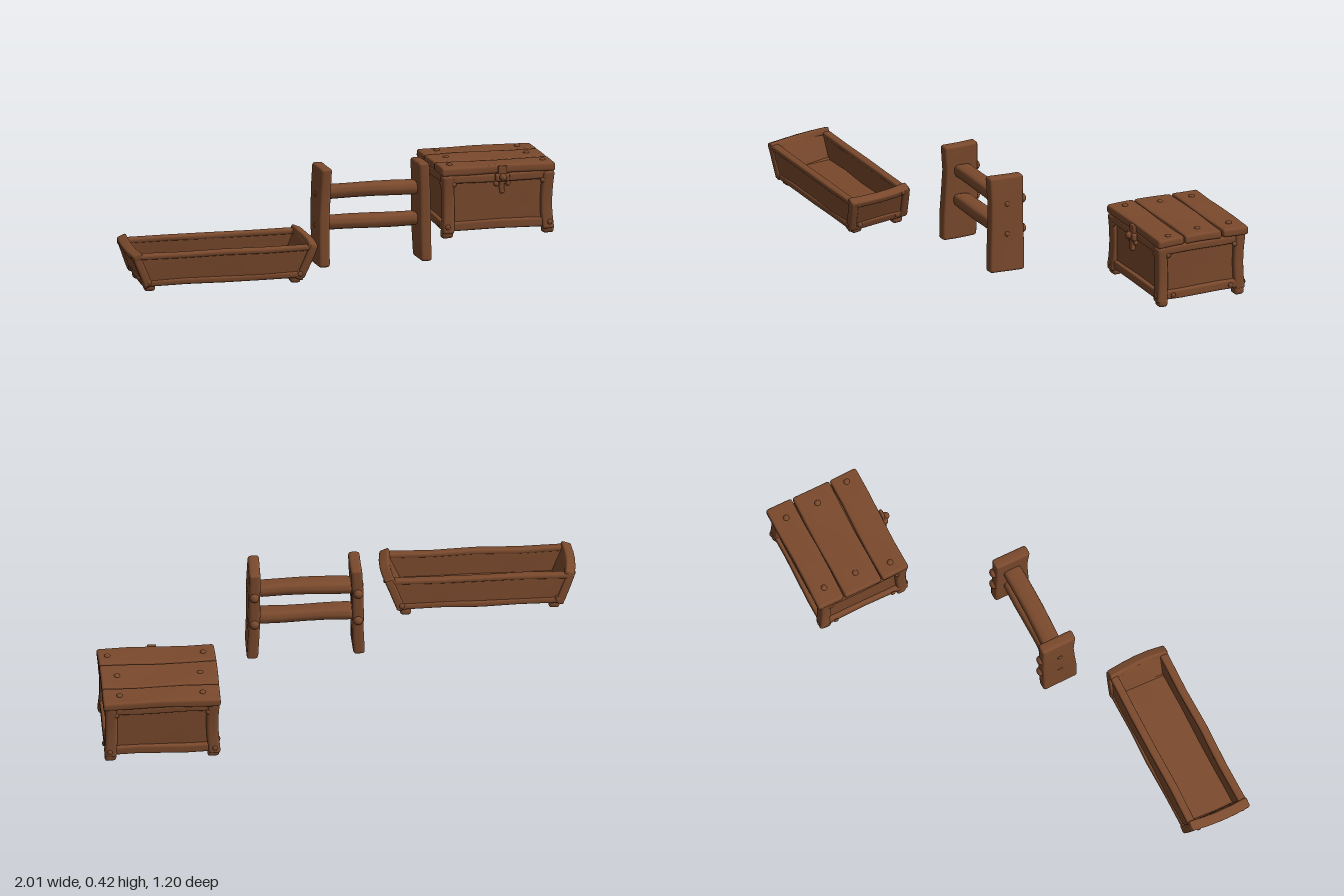
import * as THREE from 'three';
import { mergeVertices } from 'three/addons/utils/BufferGeometryUtils.js';

const wood = new THREE.MeshStandardMaterial({ color: 0x7b4a2d });
wood.name = 'brown wood';

let seed = 0;

// Rounded, slightly uneven hewn block; bend(p) may reshape each vertex.
function blockGeometry(w, h, d, r, wobble, bend) {
  const g = new THREE.BoxGeometry(2, 2, 2, 8, 8, 8);
  g.deleteAttribute('normal');
  g.deleteAttribute('uv');
  const half = [w / 2, h / 2, d / 2];
  r = Math.min(r, ...half.map((v) => v * 0.95));
  const spread = (c, size) => {
    const a = Math.abs(c);
    const m = a <= 0.5 ? (a / 0.5) * (size - r) : a < 0.9 ? size - r * 0.45 : size;
    return Math.sign(c) * m;
  };
  const pos = g.attributes.position;
  const phase = seed++ * 1.7;
  const p = new THREE.Vector3(), core = new THREE.Vector3();
  for (let i = 0; i < pos.count; i++) {
    p.set(spread(pos.getX(i), half[0]), spread(pos.getY(i), half[1]), spread(pos.getZ(i), half[2]));
    core.set(...p.toArray().map((v, k) => THREE.MathUtils.clamp(v, r - half[k], half[k] - r)));
    p.sub(core).setLength(r).add(core);
    const { x, y, z } = p;
    p.x += wobble * Math.sin(y * 17 + z * 13 + phase);
    p.y += wobble * Math.sin(x * 15 + z * 19 + phase);
    p.z += wobble * Math.sin(x * 14 + y * 16 + phase);
    if (bend) bend(p);
    pos.setXYZ(i, p.x, p.y, p.z);
  }
  const merged = mergeVertices(g, 1e-5);
  merged.computeVertexNormals();
  return merged;
}

function block(parent, name, size, at, { r = 0.008, wobble = 0.002, bend, tilt = 0 } = {}) {
  const m = new THREE.Mesh(blockGeometry(...size, r, wobble, bend), wood);
  m.name = name;
  m.position.set(...at);
  m.rotation.z = tilt;
  parent.add(m);
  return m;
}

// Domed peg head, flattened along one axis.
function peg(parent, name, at, radius, axis, depth = 0.5) {
  const m = new THREE.Mesh(new THREE.SphereGeometry(radius, 12, 8), wood);
  m.name = name;
  m.position.set(...at);
  m.scale[axis] = depth;
  parent.add(m);
}

function buildTrough() {
  const t = new THREE.Group();
  t.name = 'trough';
  const flare = (p) => { p.x *= 1 + p.y * 1.0; };
  block(t, 'troughFloor', [0.65, 0.03, 0.23], [0, 0.04, 0]);
  for (const s of [-1, 1]) {
    // Long walls with rails
    block(t, 'longWall', [0.69, 0.13, 0.024], [0, 0.095, s * 0.113], { bend: flare });
    block(t, 'topRail', [0.73, 0.022, 0.034], [0, 0.152, s * 0.115]);
    block(t, 'bottomRail', [0.65, 0.026, 0.034], [0, 0.04, s * 0.115]);
    // Leaning end boards with arched rims
    const lean = -s * 0.38;
    block(t, 'endBoard', [0.028, 0.14, 0.24], [s * 0.343, 0.093, 0], { tilt: lean });
    block(t, 'endRim', [0.042, 0.03, 0.264], [s * 0.367, 0.157, 0],
      { tilt: lean, bend: (p) => { p.x += s * 0.01 * (1 - (p.z / 0.13) ** 2); } });
    block(t, 'endSill', [0.036, 0.036, 0.262], [s * 0.322, 0.04, 0], { tilt: lean });
    for (const q of [-1, 1]) {
      block(t, 'cornerPost', [0.034, 0.145, 0.034], [s * 0.348, 0.095, q * 0.116], { tilt: lean });
      block(t, 'foot', [0.045, 0.035, 0.045], [s * 0.305, q > 0 ? 0.019 : 0.012, q * 0.092], { r: 0.012 });
      peg(t, 'railPeg', [s * 0.32, 0.045, q * 0.131], 0.012, 'z');
      peg(t, 'sillPeg', [s * 0.341, 0.04, q * 0.085], 0.011, 'x');
      peg(t, 'rimPeg', [s * 0.388, 0.15, q * 0.1], 0.01, 'x');
    }
  }
  t.position.set(-0.61, 0.03, 0.449);
  t.rotation.x = 0.1;
  return t;
}

function buildRack() {
  const k = new THREE.Group();
  k.name = 'rack';
  for (const s of [-1, 1]) {
    // Upright boards, a little wider at the foot
    const bend = (p) => {
      p.x -= s * p.y * 0.025;
      if (p.z > 0) p.z -= 0.008 * Math.exp(-(((p.y - 0.08) / 0.1) ** 2));
    };
    block(k, 'upright', [0.047, 0.41, 0.155], [s * 0.212, 0.215, 0.003], { r: 0.012, bend });
    for (const y of [0.31, 0.18]) {
      peg(k, 'backPeg', [s * 0.212, y, -0.076], 0.02, 'z', 0.75);
      peg(k, 'sidePeg', [s * 0.235, y - 0.007, 0.003], 0.011, 'x');
    }
  }
  // Thick rungs
  for (const y of [0.31, 0.18])
    block(k, 'rung', [0.4, 0.056, 0.08], [0, y, 0], { r: 0.024 });
  k.position.set(0.118, 0, 0.173);
  return k;
}

function buildChest() {
  const c = new THREE.Group();
  c.name = 'chest';
  block(c, 'chestBody', [0.43, 0.225, 0.355], [0, 0.148, 0], { wobble: 0.001 });
  for (const s of [-1, 1]) {
    // Rails framing the recessed panels
    for (const [y, h] of [[0.05, 0.038], [0.244, 0.034]]) {
      block(c, 'longRail', [0.43, h, 0.03], [0, y, s * 0.179]);
      block(c, 'sideRail', [0.03, h, 0.36], [s * 0.217, y, 0]);
    }
    for (const q of [-1, 1]) {
      // Corner posts pinched at the middle, on stubby feet
      block(c, 'cornerPost', [0.05, 0.24, 0.046], [s * 0.212, 0.142, q * 0.178], {
        r: 0.012,
        bend: (p) => {
          const pull = 0.006 * (1 - (p.y / 0.12) ** 2);
          p.x -= s * pull;
          p.z -= q * pull;
        },
      });
      block(c, 'foot', [0.048, 0.04, 0.042], [s * 0.211, 0.021, q * 0.172], { r: 0.012 });
      for (const y of [0.05, 0.225]) {
        peg(c, 'longPeg', [s * (y < 0.1 ? 0.215 : 0.188), y, q * (y < 0.1 ? 0.2 : 0.193)], 0.011, 'z');
        peg(c, 'sidePeg', [s * (y < 0.1 ? 0.236 : 0.231), y, q * (y < 0.1 ? 0.13 : 0.15)], 0.011, 'x');
      }
    }
  }
  // Lid planks: centre z, depth, peg x positions
  const planks = [[-0.152, 0.115, -0.168, 0.172], [-0.009, 0.165, -0.168, 0.172], [0.138, 0.12, -0.192, 0.2]];
  for (const [z, d, ...pegs] of planks) {
    block(c, 'lidPlank', [0.48, 0.036, d], [0, 0.279, z], { r: 0.01 });
    for (const x of pegs) peg(c, 'lidPeg', [x, 0.297, z], 0.013, 'y', 0.65);
  }
  // Latch: strap, keeper and pin
  block(c, 'latchStrap', [0.038, 0.075, 0.014], [0.012, 0.257, 0.203], { r: 0.005 });
  block(c, 'latchPlate', [0.062, 0.032, 0.022], [0.012, 0.247, 0.208], { r: 0.008 });
  block(c, 'latchPin', [0.022, 0.058, 0.02], [0.012, 0.212, 0.206], { r: 0.007 });
  peg(c, 'latchKnob', [0.012, 0.25, 0.222], 0.016, 'z', 0.9);
  for (const s of [-1, 1]) peg(c, 'latchEar', [0.012 + s * 0.024, 0.222, 0.203], 0.012, 'z', 0.8);
  c.position.set(0.758, 0, -0.392);
  return c;
}

export function createModel() {
  seed = 0;
  const g = new THREE.Group();
  g.name = 'woodenProps';
  g.add(buildTrough(), buildRack(), buildChest());
  return g;
}
